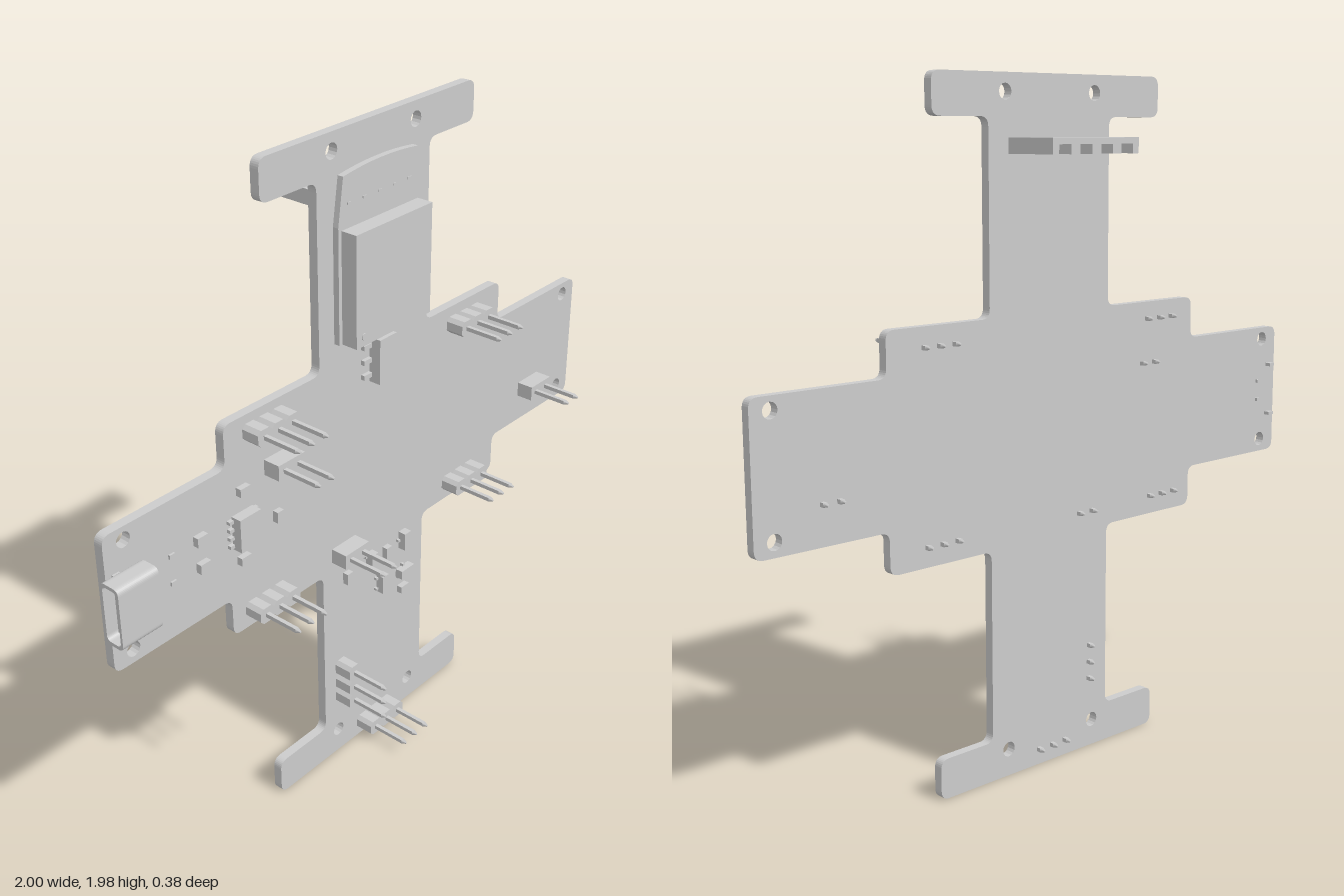
import * as THREE from 'three';

const grey = new THREE.MeshStandardMaterial({ color: 0xcccccc, side: THREE.DoubleSide });
const FACE = 0.012, BACK = -0.016; // front and back surfaces of the board

function add(parent, geometry, name) {
  const mesh = new THREE.Mesh(geometry, grey);
  mesh.name = name;
  parent.add(mesh);
  return mesh;
}

// Box given by its limits on each axis
function box(parent, name, x0, x1, y0, y1, z0, z1) {
  const mesh = add(parent, new THREE.BoxGeometry(x1 - x0, y1 - y0, z1 - z0), name);
  mesh.position.set((x0 + x1) / 2, (y0 + y1) / 2, (z0 + z1) / 2);
  return mesh;
}

function group(parent, name) {
  const g = new THREE.Group();
  g.name = name;
  parent.add(g);
  return g;
}

// Polygon with every corner rounded
function rounded(points, r) {
  const shape = new THREE.Shape();
  const pts = points.map(([x, y]) => new THREE.Vector2(x, y));
  pts.forEach((p, i) => {
    const toward = (q) => p.clone().add(q.clone().sub(p).setLength(r));
    const a = toward(pts[(i + pts.length - 1) % pts.length]);
    const b = toward(pts[(i + 1) % pts.length]);
    if (i) shape.lineTo(a.x, a.y); else shape.moveTo(a.x, a.y);
    shape.quadraticCurveTo(p.x, p.y, b.x, b.y);
  });
  shape.closePath();
  return shape;
}

function rect(x0, x1, y0, y1) {
  return [[x0, y0], [x1, y0], [x1, y1], [x0, y1]];
}

function extrude(shape, z0, z1) {
  return new THREE.ExtrudeGeometry(shape, { depth: z1 - z0, bevelEnabled: false, curveSegments: 8 })
    .translate(0, 0, z0);
}

// Row of square pins in a plastic strip; octagonal cells for three-way rows
function header(parent, x, y, count, vertical = false) {
  const g = group(parent, 'pinHeader');
  const pitch = 0.052, h = 0.024, c = 0.011;
  if (count === 2) box(g, 'headerStrip', -0.05, 0.05, -0.023, 0.023, FACE, 0.065);
  for (let i = 0; i < count; i++) {
    const px = (i - (count - 1) / 2) * pitch, w = pitch / 2;
    if (count > 2) {
      const cell = new THREE.Shape([
        [px - w, -h + c], [px - w + c, -h], [px + w - c, -h], [px + w, -h + c],
        [px + w, h - c], [px + w - c, h], [px - w + c, h], [px - w, h - c],
      ].map(([a, b]) => new THREE.Vector2(a, b)));
      add(g, extrude(cell, FACE, 0.068), 'headerCell');
    }
    box(g, 'pin', px - 0.006, px + 0.006, -0.006, 0.006, -0.03, 0.175);
    // Tapered pin ends
    for (const [z, dir] of [[0.182, 1], [-0.037, -1]]) {
      const tip = add(g, new THREE.CylinderGeometry(0.003, 0.0085, 0.014, 4).rotateY(Math.PI / 4), 'pinTip');
      tip.rotation.x = dir * Math.PI / 2;
      tip.position.set(px, 0, z);
    }
  }
  g.position.set(x, y, 0);
  if (vertical) g.rotation.z = Math.PI / 2;
}

// Three-legged transistor
function transistor(parent, x, y, turn) {
  const g = group(parent, 'transistor');
  box(g, 'transistorBody', -0.014, 0.014, -0.029, 0.029, FACE + 0.003, 0.04);
  for (const [side, ly] of [[-1, -0.019], [-1, 0.019], [1, 0]]) {
    box(g, 'transistorLeg', side * 0.016 - 0.006, side * 0.016 + 0.006, ly - 0.004, ly + 0.004, FACE, 0.022);
  }
  g.position.set(x, y, 0);
  g.rotation.z = turn;
}

export function createModel() {
  const model = new THREE.Group();
  model.name = 'circuitBoardFrame';

  // Cross-shaped board with mounting holes
  const outline = rounded([
    [-0.41, 0], [0.43, 0], [0.43, 0.118], [0.24, 0.118], [0.24, 0.68], [0.59, 0.68],
    [0.59, 0.8], [1, 0.8], [1, 1.205], [0.59, 1.205], [0.59, 1.33], [0.24, 1.33],
    [0.24, 1.865], [0.43, 1.865], [0.43, 1.98], [-0.41, 1.98], [-0.41, 1.865], [-0.21, 1.865],
    [-0.21, 1.33], [-0.57, 1.33], [-0.57, 1.205], [-0.98, 1.205], [-0.98, 0.8], [-0.57, 0.8],
    [-0.57, 0.68], [-0.21, 0.68], [-0.21, 0.118], [-0.41, 0.118],
  ], 0.028);
  for (const [xs, ys] of [[[-0.915, 0.94], [0.84, 1.168]], [[-0.152, 0.18], [0.08, 1.93]]]) {
    for (const x of xs) for (const y of ys) {
      outline.holes.push(new THREE.Path().absarc(x, y, 0.022, 0, Math.PI * 2, true));
    }
  }
  add(model, extrude(outline, BACK, FACE), 'board');

  // Radio module: thin carrier with arched top, and shield can
  const radio = group(model, 'radioModule');
  const carrier = new THREE.Shape();
  carrier.moveTo(-0.15, 1.4);
  carrier.lineTo(0.182, 1.385);
  carrier.lineTo(0.182, 1.73);
  carrier.lineTo(0.168, 1.865);
  carrier.quadraticCurveTo(0.02, 1.885, -0.13, 1.862);
  carrier.lineTo(-0.15, 1.73);
  add(radio, extrude(carrier, FACE, 0.03), 'moduleCarrier');
  box(radio, 'shieldCan', -0.138, 0.17, 1.4, 1.72, 0.03, 0.08);
  const dot = add(radio, new THREE.CylinderGeometry(0.01, 0.01, 0.004, 12), 'shieldDot');
  dot.rotation.x = Math.PI / 2;
  dot.position.set(-0.108, 1.428, 0.081);
  for (let i = 0; i < 5; i++) {
    box(radio, 'antennaMark', -0.115 + i * 0.06, -0.1 + i * 0.06, 1.784, 1.79, 0.03, 0.032);
  }

  // Rear connector: solid root and mouth with open slots underneath
  const rear = group(model, 'rearConnector');
  box(rear, 'connectorRoot', -0.16, 0.16, -0.021, 0.022, -0.125, BACK);
  const mouth = [[-0.16, 0.022], [-0.16, -0.021]];
  for (let i = 0; i < 4; i++) {
    const x = -0.115 + i * 0.077;
    mouth.push([x - 0.022, -0.021], [x - 0.022, 0.005], [x + 0.022, 0.005], [x + 0.022, -0.021]);
  }
  mouth.push([0.16, -0.021], [0.16, 0.022]);
  add(rear, extrude(new THREE.Shape(mouth.map(([x, y]) => new THREE.Vector2(x, y))), -0.19, -0.125), 'connectorMouth');
  rear.position.set(0.01, 1.788, 0);

  // Side socket: hollow shell open toward -x, with tongue and solder tabs
  const socket = group(model, 'sideSocket');
  const shell = rounded(rect(-0.0325, 0.0325, -0.09, 0.09), 0.018);
  shell.holes.push(rounded(rect(-0.025, 0.025, -0.08, 0.08), 0.014));
  const shellMesh = add(socket, extrude(shell, 0, 0.13), 'socketShell');
  shellMesh.rotation.set(0, Math.PI / 2, 0);
  shellMesh.position.set(-1, 1.003, 0.0465);
  box(socket, 'socketBack', -0.9, -0.872, 0.92, 1.086, 0.018, 0.075);
  box(socket, 'socketTongue', -0.98, -0.89, 0.945, 1.06, 0.042, 0.053);
  for (const side of [-1, 1]) {
    const y = 1.003 + side * 0.08;
    box(socket, 'socketTab', -0.96, -0.938, y - 0.005, y + 0.005, -0.035, 0.03);
    box(socket, 'socketPeg', -0.9, -0.89, 1.003 + side * 0.03 - 0.005, 1.003 + side * 0.03 + 0.005, -0.025, 0.02);
  }
  for (let i = 0; i < 5; i++) {
    const y = 0.963 + i * 0.02;
    box(socket, 'socketLead', -0.875, -0.864, y - 0.004, y + 0.004, FACE, 0.025);
  }

  // Pin headers
  for (const [x, y] of [[-0.425, 1.28], [0.417, 1.275], [-0.443, 0.737], [0.415, 0.737], [0.013, 0.048]]) {
    header(model, x, y, 3);
  }
  header(model, -0.138, 0.268, 3, true);
  for (const [x, y] of [[-0.38, 1.148], [0.772, 0.912], [-0.121, 0.733]]) header(model, x, y, 2);

  // Eight-legged chip
  const chip = group(model, 'chip');
  box(chip, 'chipBody', -0.56, -0.483, 0.96, 1.06, 0.016, 0.048);
  for (let i = 0; i < 4; i++) {
    const y = 0.972 + i * 0.025;
    box(chip, 'chipLeg', -0.575, -0.468, y - 0.005, y + 0.005, FACE, 0.024);
  }

  // Voltage regulator with wide tab and three legs
  const regulator = group(model, 'regulator');
  box(regulator, 'regulatorBody', -0.01, 0.06, 1.235, 1.37, 0.015, 0.053);
  box(regulator, 'regulatorTab', 0.06, 0.092, 1.275, 1.33, FACE, 0.024);
  for (const y of [1.258, 1.303, 1.348]) {
    box(regulator, 'regulatorLeg', -0.042, -0.01, y - 0.007, y + 0.007, FACE, 0.024);
  }

  // Small passive components: x, y, width, height
  for (const [x, y, w, h] of [
    [-0.77, 1.047, 0.018, 0.012], [-0.77, 0.965, 0.018, 0.012], [-0.675, 1.05, 0.036, 0.028],
    [-0.67, 0.966, 0.036, 0.028], [-0.518, 1.123, 0.036, 0.024], [-0.525, 0.913, 0.036, 0.024],
    [-0.392, 0.984, 0.024, 0.034], [-0.112, 0.632, 0.024, 0.036], [0.065, 0.632, 0.024, 0.036],
    [0.142, 0.46, 0.036, 0.022],
  ]) {
    box(model, 'smallComponent', x - w / 2, x + w / 2, y - h / 2, y + h / 2, FACE, w < 0.02 ? 0.018 : 0.03);
  }

  // Transistors
  for (const [x, y, turn] of [
    [-0.012, 0.64, 0], [0.14, 0.64, Math.PI], [0.037, 0.537, 0], [0.143, 0.525, Math.PI / 2],
  ]) transistor(model, x, y, turn);

  return model;
}
